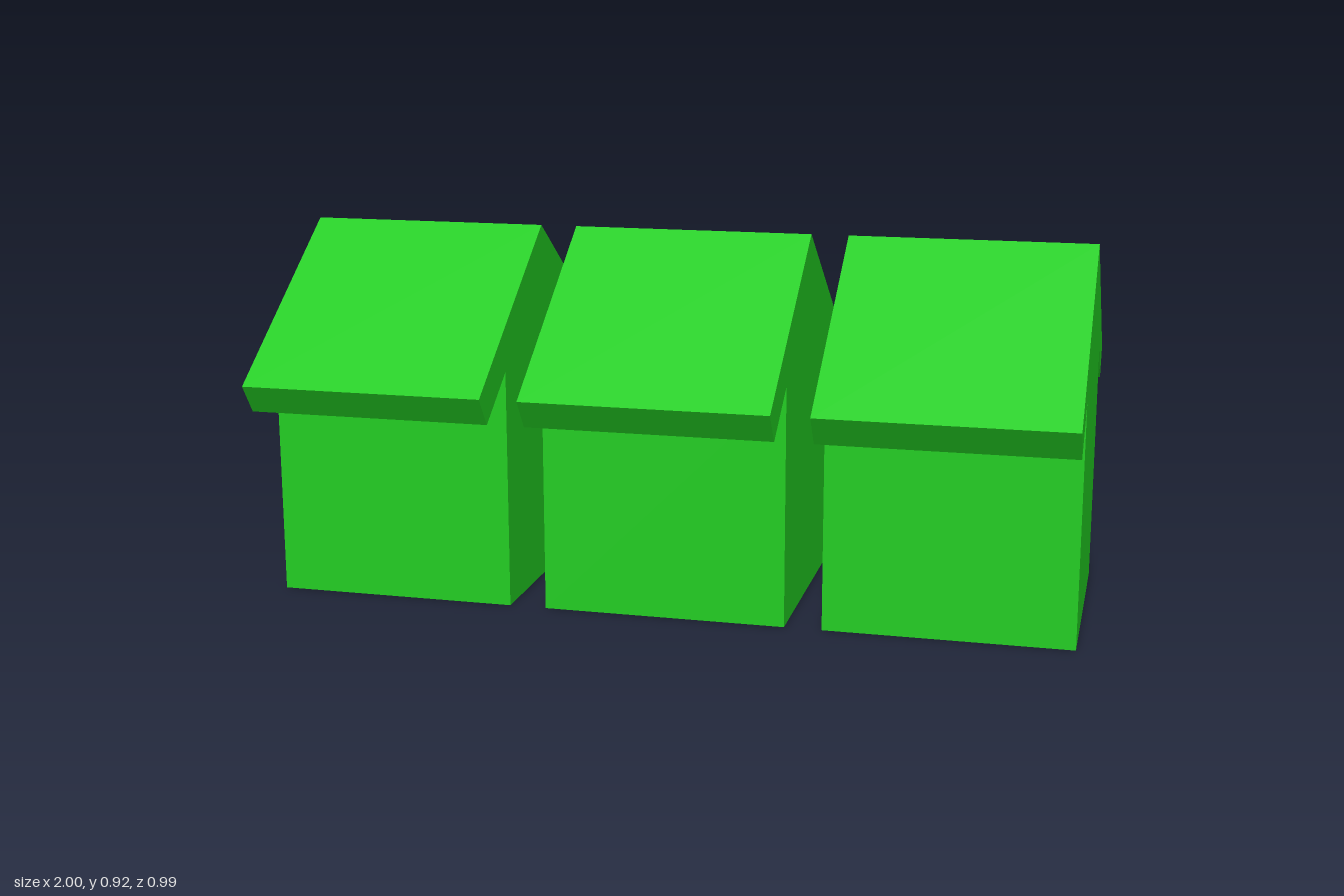
import * as THREE from 'three';

const LENGTH = 0.605; // length of one house along x
const SPACING = 0.6975;

// Extrudes a gable-end outline of [z, y] points along x, centred on x = 0
function extrudeAlongX(points) {
  const shape = new THREE.Shape(points.map(([z, y]) => new THREE.Vector2(z, y)));
  const geometry = new THREE.ExtrudeGeometry(shape, { depth: LENGTH, bevelEnabled: false });
  geometry.translate(0, 0, -LENGTH / 2);
  geometry.rotateY(Math.PI / 2);
  return geometry;
}

export function createModel() {
  const model = new THREE.Group();
  model.name = 'houseRow';
  const green = new THREE.MeshStandardMaterial({ color: 0x22cc22, flatShading: true });

  // Walls with gables reaching up to the underside of the roof
  const wallGeometry = extrudeAlongX([
    [-0.303, 0], [0.303, 0], [0.303, 0.597], [0, 0.807], [-0.303, 0.597],
  ]);

  // Pitched roof slab with square-cut overhanging eaves
  const roofGeometry = extrudeAlongX([
    [0, 0.917], [-0.497, 0.571], [-0.446, 0.498], [-0.303, 0.597],
    [0, 0.807], [0.303, 0.597], [0.446, 0.498], [0.497, 0.571],
  ]);

  // Three identical houses side by side
  ['right', 'middle', 'left'].forEach((side, i) => {
    const house = new THREE.Group();
    house.name = `${side}House`;
    const walls = new THREE.Mesh(wallGeometry, green);
    walls.name = 'walls';
    const roof = new THREE.Mesh(roofGeometry, green);
    roof.name = 'roof';
    house.add(walls, roof);
    house.position.x = (i - 1) * SPACING;
    model.add(house);
  });

  return model;
}
